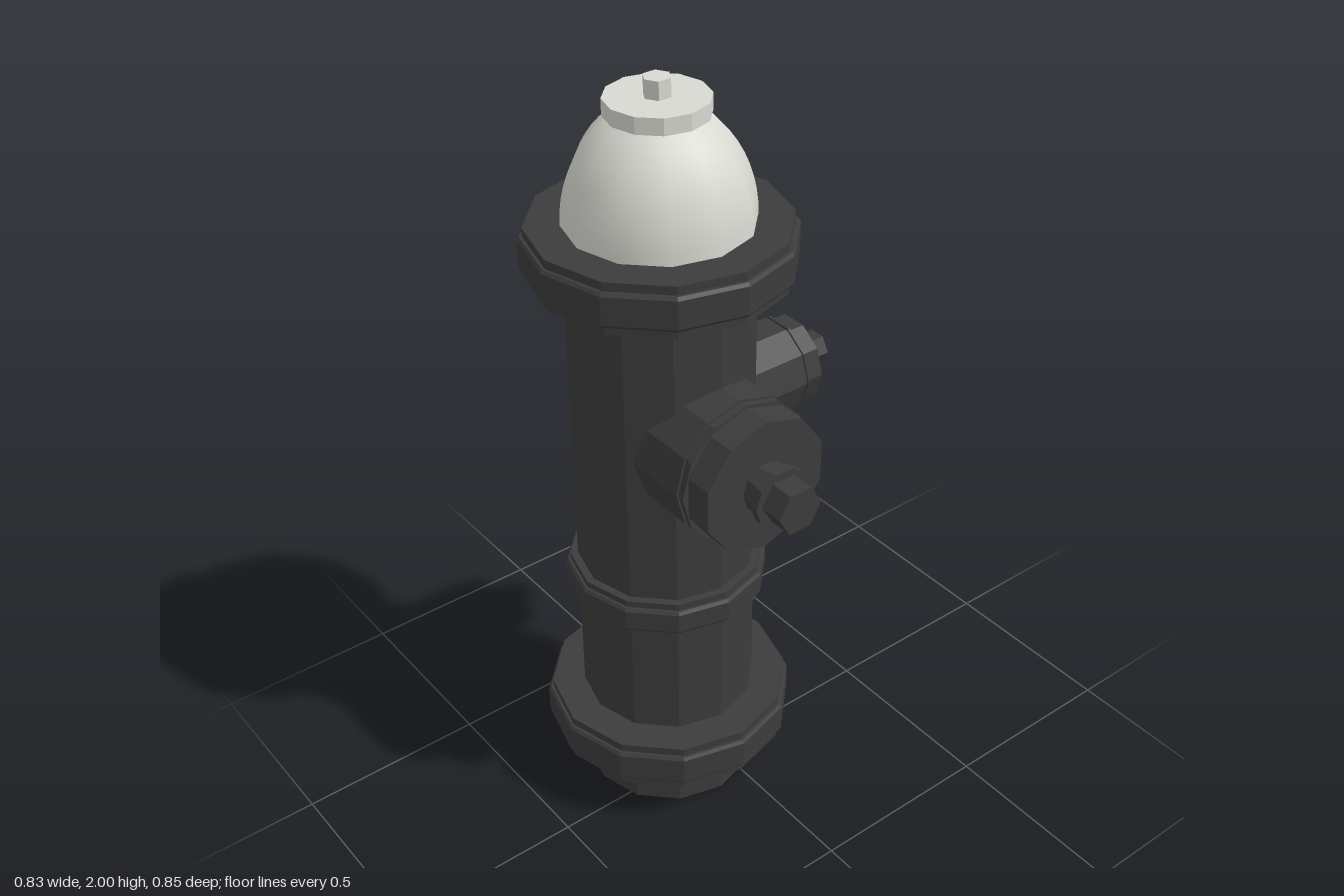
import * as THREE from 'three';

const CX = -0.085, CZ = -0.095, OUTLET_Y = 1.12;

export function createModel() {
  const iron = new THREE.MeshStandardMaterial({ color: 0x3c3c3c });
  iron.name = 'dark iron';
  const pale = new THREE.MeshStandardMaterial({ color: 0xd8d9d1 });
  pale.name = 'pale grey paint';

  const model = new THREE.Group();
  model.name = 'hydrant';
  const column = new THREE.Group();
  column.name = 'column';
  column.position.set(CX, 0, CZ);
  model.add(column);

  // Turned part from [radius, height] pairs; faceted unless smooth
  function turned(parent, name, profile, sides, material, { smooth = false, start = 0 } = {}) {
    const points = profile.map(([r, y]) => new THREE.Vector2(r, y));
    let geometry = new THREE.LatheGeometry(points, sides, start);
    if (!smooth) {
      geometry = geometry.toNonIndexed();
      geometry.computeVertexNormals();
    }
    const mesh = new THREE.Mesh(geometry, material);
    mesh.name = name;
    parent.add(mesh);
    return mesh;
  }

  // Closed straight cylinder between two heights
  const drum = (r, y0, y1) => [[0, y0], [r, y0], [r, y1], [0, y1]];

  // Barrel
  turned(column, 'barrel', drum(0.23, 0, 1.6), 12, iron);

  // Stepped flanges: narrow lips around a wider, slightly bevelled band
  function flange(name, y0, y1, lip, wide, step) {
    turned(column, name, [
      [0, y0], [lip, y0], [lip, y0 + step], [wide - 0.006, y0 + step],
      [wide, y0 + step + 0.008], [wide, y1 - step - 0.008],
      [wide - 0.006, y1 - step], [lip, y1 - step], [lip, y1], [0, y1],
    ], 12, iron);
  }
  flange('baseFlange', 0.135, 0.27, 0.317, 0.33, 0.022);
  flange('middleRing', 0.6, 0.705, 0.25, 0.262, 0.018);
  flange('topFlange', 1.52, 1.652, 0.317, 0.33, 0.022);

  // Domed bonnet with its cap and nut
  const dome = [];
  for (let i = 0; i <= 10; i++) {
    const a = (i / 10) * 1.12;
    dome.push([0.23 * Math.cos(a), 1.65 + 0.296 * Math.sin(a)]);
  }
  turned(column, 'bonnet', dome, 12, pale, { smooth: true });
  turned(column, 'bonnetCap', drum(0.125, 1.914, 1.955), 12, pale);
  turned(column, 'bonnetNut', drum(0.034, 1.95, 2), 6, pale, { start: Math.PI / 2 });

  // Outlets, built along +y from the barrel axis and then tipped over
  function outlet(name, s) {
    const group = new THREE.Group();
    group.name = name;
    group.position.y = OUTLET_Y;
    column.add(group);
    turned(group, name + 'Neck', [
      [0, 0.05], [s.neck, 0.05], [s.neck, s.groove], [s.neck - 0.006, s.groove],
      [s.neck - 0.006, s.ring], [s.neck, s.ring], [s.neck, s.ringEnd], [0, s.ringEnd],
    ], s.neckSides, iron);
    turned(group, name + 'Cap', drum(s.cap, s.ringEnd - 0.01, s.capEnd), 10, iron);
    const start = s.stemStart;
    turned(group, name + 'Stem', drum(s.stem, s.capEnd - 0.01, s.collarStart), 10, iron, { start });
    turned(group, name + 'Collar', drum(s.collar, s.collarStart, s.collarEnd), 10, iron, { start });
    turned(group, name + 'Nut', drum(s.nut, s.collarEnd - 0.01, s.end), 6, iron, { start });
    return group;
  }

  const front = outlet('frontOutlet', {
    neck: 0.187, neckSides: 12, groove: 0.298, ring: 0.31, ringEnd: 0.323,
    cap: 0.179, capEnd: 0.395, stem: 0.067, collarStart: 0.435,
    collar: 0.078, collarEnd: 0.457, nut: 0.062, end: 0.52, stemStart: Math.PI / 2,
  });
  front.rotation.x = Math.PI / 2;

  const side = outlet('leftOutlet', {
    neck: 0.125, neckSides: 10, groove: 0.358, ring: 0.365, ringEnd: 0.372,
    cap: 0.115, capEnd: 0.418, stem: 0.045, collarStart: 0.44,
    collar: 0.052, collarEnd: 0.455, nut: 0.044, end: 0.5, stemStart: 0,
  });
  side.rotation.z = -Math.PI / 2;

  return model;
}
